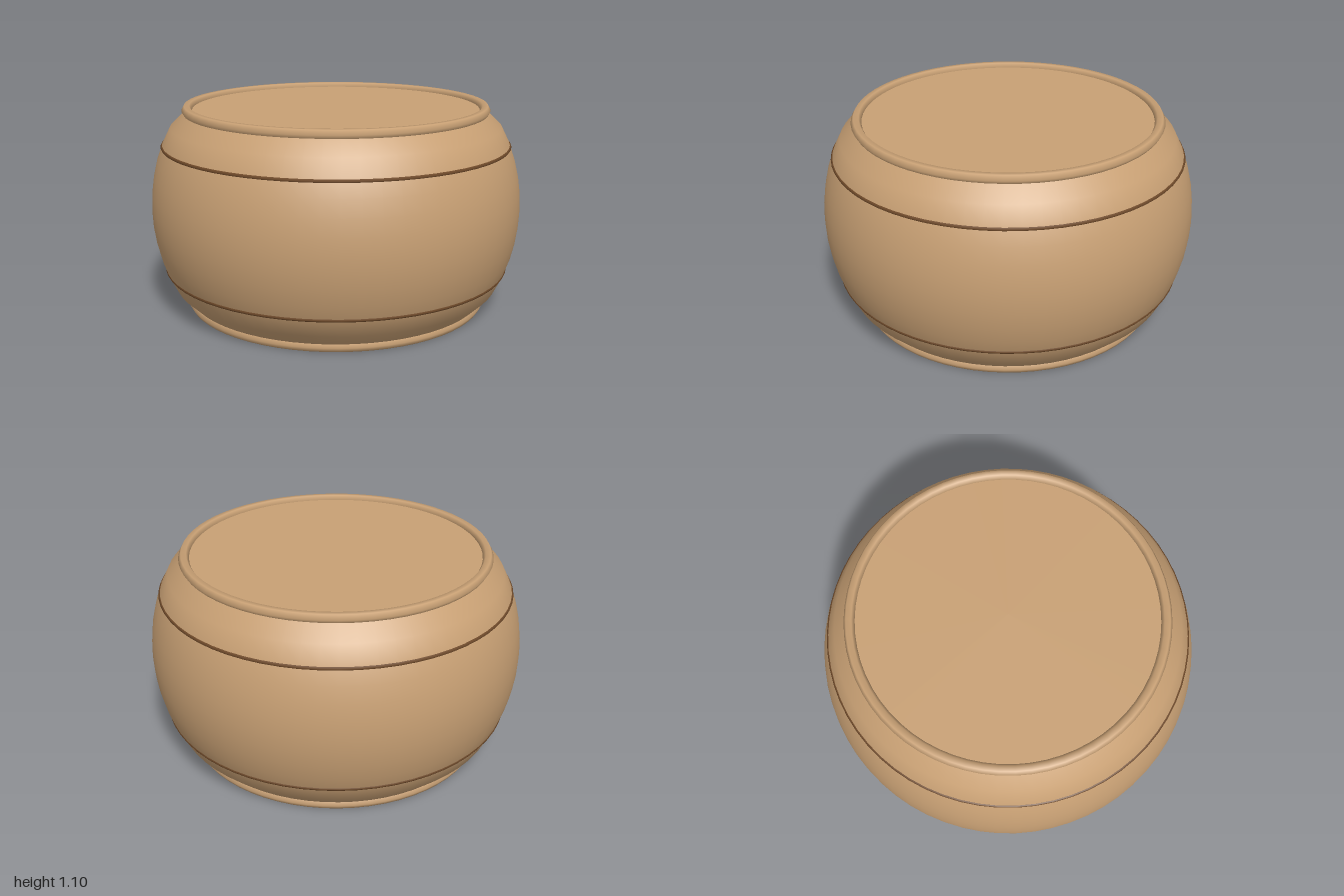
import * as THREE from 'three';

const SEGMENTS = 64;
const RIM_RADIUS = 0.797, RIM_TUBE = 0.028;
const BOTTOM = 0.024, TOP = 1.072, MIDDLE = (BOTTOM + TOP) / 2;

export function createModel() {
  const model = new THREE.Group();
  model.name = 'roundDrumStool';

  const wood = new THREE.MeshStandardMaterial({ color: 0xc8a074 });
  wood.name = 'tan wood';
  const darkWood = new THREE.MeshStandardMaterial({ color: 0x6f4a2a });
  darkWood.name = 'dark brown band';

  const add = (name, geometry, material, y) => {
    const mesh = new THREE.Mesh(geometry, material);
    mesh.name = name;
    mesh.position.y = y;
    model.add(mesh);
  };

  // Bulging side wall, steepest at the rims
  const profile = [];
  for (let i = 0; i <= 12; i++) {
    const bulge = Math.max(0, Math.sin(Math.PI * i / 12)) ** 0.6;
    profile.push(new THREE.Vector2(RIM_RADIUS + 0.203 * bulge, BOTTOM + (TOP - BOTTOM) * i / 12));
  }
  add('body', new THREE.LatheGeometry(profile, SEGMENTS), wood, 0);

  // Flat end faces, rounded rims and thin bands, mirrored top and bottom
  for (const [side, s] of [['top', 1], ['bottom', -1]]) {
    const endY = s > 0 ? TOP : BOTTOM;
    const face = new THREE.CircleGeometry(RIM_RADIUS, SEGMENTS).rotateX(-s * Math.PI / 2);
    add(side + 'Face', face, wood, endY);

    const rim = new THREE.TorusGeometry(RIM_RADIUS, RIM_TUBE, 6, SEGMENTS).rotateX(Math.PI / 2);
    add(side + 'Rim', rim, wood, endY);

    const band = new THREE.TorusGeometry(0.931, 0.0105, 6, SEGMENTS).rotateX(Math.PI / 2);
    add(side + 'Band', band, darkWood, MIDDLE + s * 0.335);
  }

  return model;
}
